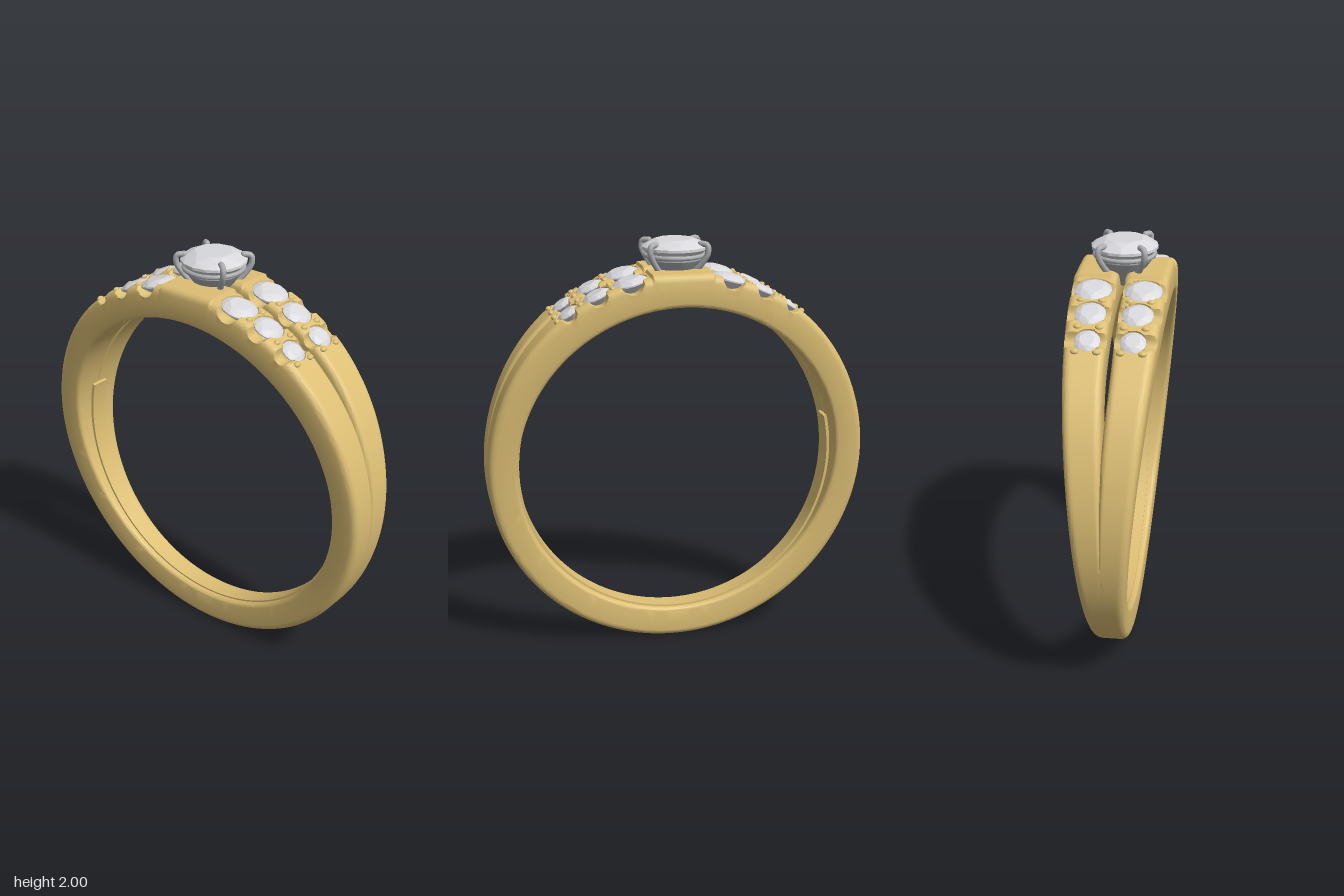
import * as THREE from 'three';
import { toCreasedNormals } from 'three/addons/utils/BufferGeometryUtils.js';
import { ConvexGeometry } from 'three/addons/geometries/ConvexGeometry.js';

const CY = 0.925; // height of the ring centre
// accent stones: angle from the top, z, radius, scallop radius, drill hole radius
const STONES = [
  { phi: 0.258, z: 0.114, r: 0.085, cut: 0.052, hole: 0.046 },
  { phi: 0.437, z: 0.105, r: 0.071, cut: 0.044, hole: 0.038 },
  { phi: 0.602, z: 0.1, r: 0.058, cut: 0.036, hole: 0.033 },
];
const { smoothstep, clamp } = THREE.MathUtils;

// distance the surface falls near a rounded edge
const round = (e, c) => (e >= c || c <= 0 ? 0 : c - Math.sqrt(Math.max(0, c * c - (c - e) ** 2)));

// band dimensions at an angle measured from the top
function bandAt(phi) {
  const a = Math.abs(phi);
  const u = clamp((CY + 0.925 * Math.cos(a)) / 1.85, 0, 1);
  return {
    zIn: 0.016 * (1 - smoothstep(a, 0.7, 1.25)),
    zOut: 0.072 + 0.148 * Math.pow(u, 1.3),
    rIn: 0.78 + 0.006 * Math.cos(a),
    rOut: a < 0.16 ? 0.94 / Math.cos(a) : 0.92 + 0.018 * (1 - smoothstep(a, 0.5, 1.4)) + 0.005 * smoothstep(a, 1.8, 3),
    groove: 0.03 * (1 - smoothstep(a, 1.0, 1.95)),
  };
}

// one point of a band face, with seats, scallops and drilled holes
function facePoint(phi, z, b, outer) {
  let a = Math.abs(phi);
  const sign = Math.sign(phi) || 1;
  const R = outer ? 0.93 : 0.785;
  let drop = 0;
  for (const s of STONES) {
    const rad = outer ? s.r : s.hole;
    let ds = (a - s.phi) * R, dz = z - s.z;
    const d = Math.hypot(ds, dz);
    if (Math.abs(d - rad) < 0.005 && z > b.zIn + 0.006 && z < b.zOut - 0.006) {
      // snap to the rim so that it stays round
      a = s.phi + (ds * rad / d) / R;
      z = s.z + dz * rad / d;
      ds *= rad / d;
    } else if (d < rad) drop = Math.max(drop, outer ? 0.022 + 0.06 * (1 - d / rad) : 0.055);
    if (outer && Math.abs(ds) < s.cut) drop = Math.max(drop, Math.sqrt(s.cut ** 2 - ds ** 2));
  }
  const edge = outer
    ? Math.max(round(b.zOut - z, 0.035), round(z - b.zIn, b.groove))
    : Math.max(round(b.zOut - z, 0.02), round(z - b.zIn, Math.min(0.01, b.groove)));
  const r = outer ? b.rOut - Math.max(drop, edge) : b.rIn + Math.max(drop, edge);
  return [a * sign, r, z];
}

// half of the split shank, swept around the finger; side is +1 or -1 in z
function shankGeometry(side) {
  const angles = [];
  for (let i = 0; i <= 152; i++) angles.push(-0.76 + i * 0.01);
  const rest = Math.PI * 2 - 1.52;
  for (let i = 1; i < 110; i++) angles.push(0.76 + (rest * i) / 110);
  const N = 30, pos = [], idx = [];
  let M = 0;
  for (const full of angles) {
    const phi = full > Math.PI ? full - Math.PI * 2 : full;
    const b = bandAt(phi), loop = [];
    const zAt = (k) => {
      const t = k / N;
      return b.zIn + (b.zOut - b.zIn) * (0.5 * t + 0.5 * (0.5 - 0.5 * Math.cos(Math.PI * t)));
    };
    for (let k = 0; k <= N; k++) loop.push(facePoint(phi, zAt(k), b, true));
    loop.push([phi, (b.rIn + b.rOut) / 2, b.zOut]);
    for (let k = N; k >= 0; k--) loop.push(facePoint(phi, zAt(k), b, false));
    loop.push([phi, (b.rIn + b.rOut) / 2, b.zIn]);
    M = loop.length;
    for (const [p, r, z] of loop) pos.push(r * Math.sin(p), CY + r * Math.cos(p), z * side);
  }
  const n = angles.length;
  for (let i = 0; i < n; i++) {
    for (let j = 0; j < M; j++) {
      const i2 = (i + 1) % n, j2 = (j + 1) % M;
      const a = i * M + j, b = i2 * M + j, c = i * M + j2, d = i2 * M + j2;
      if (side > 0) idx.push(a, c, b, b, c, d);
      else idx.push(a, b, c, b, d, c);
    }
  }
  const g = new THREE.BufferGeometry();
  g.setAttribute('position', new THREE.Float32BufferAttribute(pos, 3));
  g.setIndex(idx);
  return toCreasedNormals(g, 0.6);
}

// round brilliant with its girdle at y = 0
function gemGeometry(r, crown, depth) {
  const pts = [new THREE.Vector3(0, -depth, 0)];
  const ring = (rad, y, n, off) => {
    for (let i = 0; i < n; i++) {
      const t = ((i + off) / n) * Math.PI * 2;
      pts.push(new THREE.Vector3(rad * Math.cos(t), y, rad * Math.sin(t)));
    }
  };
  ring(r * 0.58, crown, 8, 0.5);
  ring(r * 0.84, crown * 0.6, 8, 0);
  ring(r, 0.05 * r, 16, 0);
  ring(r, -0.03 * r, 16, 0);
  ring(r * 0.5, -depth * 0.55, 8, 0.5);
  return new ConvexGeometry(pts);
}

export function createModel() {
  const gold = new THREE.MeshStandardMaterial({ color: 0xdcbe74 });
  gold.name = 'yellow gold';
  const metal = new THREE.MeshStandardMaterial({ color: 0xacaeb1 });
  metal.name = 'white metal';
  metal.side = THREE.DoubleSide;
  const crystal = new THREE.MeshStandardMaterial({ color: 0xd8d8dc });
  crystal.name = 'clear stone';

  const model = new THREE.Group();
  model.name = 'ring';
  const add = (name, geo, mat, parent = model) => {
    const m = new THREE.Mesh(geo, mat);
    m.name = name;
    parent.add(m);
    return m;
  };

  // split shank
  add('frontShank', shankGeometry(1), gold);
  add('backShank', shankGeometry(-1), gold);

  // raised strip inside the lower part of the band
  const strip = new THREE.Shape();
  strip.absarc(0, 0, 0.8, 0.23, Math.PI - 0.23, true);
  strip.absarc(0, 0, 0.766, Math.PI - 0.23, 0.23, false);
  const stripGeo = new THREE.ExtrudeGeometry(strip, { depth: 0.09, bevelEnabled: false, curveSegments: 96 });
  stripGeo.translate(0, CY, -0.045);
  add('innerStrip', toCreasedNormals(stripGeo, 0.5), gold);

  // accent stones and the gold beads that hold them
  const bead = new THREE.SphereGeometry(0.016, 12, 8);
  for (const sx of [1, -1]) {
    for (const sz of [1, -1]) {
      for (const s of STONES) {
        const gem = add('accentStone', gemGeometry(s.r, s.r * 0.3, s.r * 0.75), crystal);
        gem.position.set(sx * 0.924 * Math.sin(s.phi), CY + 0.924 * Math.cos(s.phi), sz * s.z);
        gem.rotation.z = -sx * s.phi;
      }
      [[0.353, 0.109], [0.527, 0.102], [0.668, 0.1]].forEach(([phi, z]) => {
        for (const dz of [-0.048, 0.048]) {
          const b = add('bead', bead, gold);
          b.position.set(sx * 0.936 * Math.sin(phi), CY + 0.936 * Math.cos(phi), sz * (z + dz));
          b.scale.set(0.9, 0.8, 1.2);
        }
      });
    }
  }

  // centre stone in its basket
  const head = new THREE.Group();
  head.name = 'centreSetting';
  model.add(head);
  add('centreStone', gemGeometry(0.155, 0.042, 0.14), crystal, head).position.y = 1.958;
  const basket = [[0.03, 1.775], [0.1, 1.862], [0.13, 1.905], [0.13, 1.918], [0.115, 1.918], [0.022, 1.785]];
  add('basket', toCreasedNormals(new THREE.LatheGeometry(basket.map((p) => new THREE.Vector2(...p)), 40), 0.5), metal, head);
  const rail = add('rail', new THREE.TorusGeometry(0.138, 0.011, 8, 48), metal, head);
  rail.rotation.x = Math.PI / 2;
  rail.position.y = 1.925;

  // four curved prongs
  const path = new THREE.CatmullRomCurve3(
    [[0.095, 1.84], [0.14, 1.89], [0.172, 1.945], [0.168, 1.978], [0.135, 1.984]].map(([x, y]) => new THREE.Vector3(x, y, 0)));
  const prongGeo = new THREE.TubeGeometry(path, 20, 0.014, 10);
  const tipGeo = new THREE.SphereGeometry(0.014, 10, 8);
  for (const a of [0.66, Math.PI - 0.66, Math.PI + 0.66, -0.66]) {
    const prong = new THREE.Group();
    prong.name = 'prong';
    prong.rotation.y = a;
    head.add(prong);
    add('prongArm', prongGeo, metal, prong);
    add('prongTip', tipGeo, metal, prong).position.set(0.135, 1.984, 0);
  }
  return model;
}
